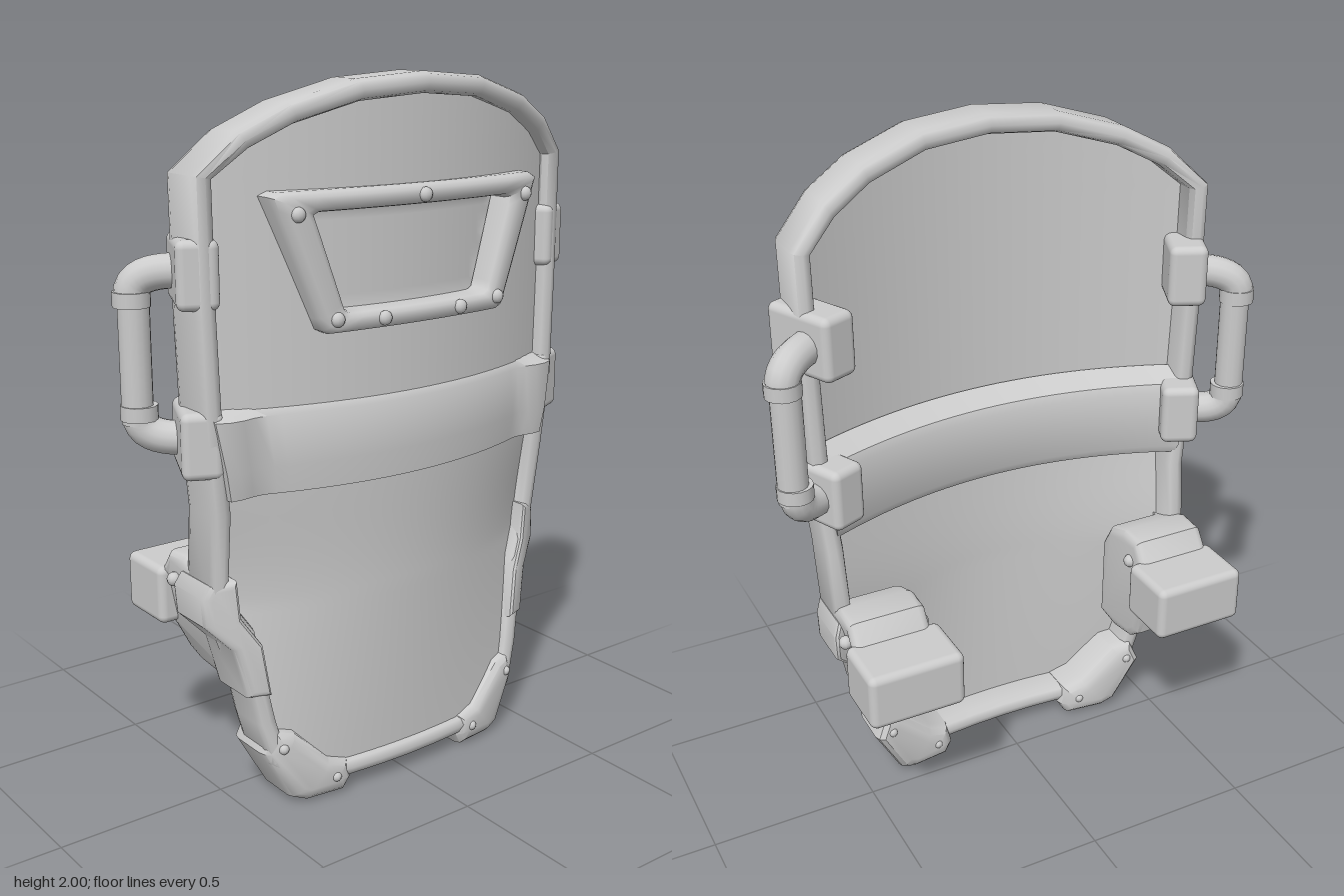
import * as THREE from 'three';
import { toCreasedNormals } from 'three/addons/utils/BufferGeometryUtils.js';
import { RoundedBoxGeometry } from 'three/addons/geometries/RoundedBoxGeometry.js';

const material = new THREE.MeshStandardMaterial({ color: 0xcccccc, side: THREE.DoubleSide });
const { lerp, smoothstep, clamp } = THREE.MathUtils;

// Mid-surface of the curved shield: flatter at the foot, deepest at the arm rests
function bow(x, y) {
  const low = clamp(y / 0.6, 0, 1), high = smoothstep(y, 0.6, 1.05);
  const centre = lerp(lerp(0.16, 0.205, low), 0.22, high);
  const curve = lerp(lerp(0.22, 0.5, low), 0.385, high);
  return centre - curve * x * x;
}

// Rim centre line, right half, top to bottom
const outline = [[0, 1.972], [0.2, 1.957], [0.38, 1.905], [0.5, 1.842], [0.593, 1.755], [0.59, 1.4], [0.582, 1.1],
  [0.56, 0.88], [0.555, 0.63], [0.495, 0.53], [0.45, 0.27], [0.42, 0.15], [0.35, 0.08], [0.2, 0.07], [0.1, 0.07], [0, 0.07]];

function halfWidth(y) {
  for (let i = 0; i < 12; i++) {
    const [x0, y0] = outline[i], [x1, y1] = outline[i + 1];
    if (y <= y0 && y >= y1) return lerp(x0, x1, (y0 - y) / (y0 - y1));
  }
  return y > 1 ? 0 : 0.35;
}

// Skin a list of equal-length rings; open ends get strip caps, faces are turned outward by signed volume
function loft(rings, closed, crease = 0.7) {
  const n = rings[0].length, m = rings.length, pos = rings.flat(2), idx = [];
  for (let i = 0; i < (closed ? m : m - 1); i++) {
    for (let j = 0; j < n; j++) {
      const k = (j + 1) % n, p = i * n, q = ((i + 1) % m) * n;
      idx.push(p + j, p + k, q + j, p + k, q + k, q + j);
    }
  }
  if (!closed) for (let j = 0; j < n / 2 - 1; j++) {
    const e = (m - 1) * n, a = n - 1 - j, b = n - 2 - j;
    idx.push(j, a, b, j, b, j + 1, e + j, e + b, e + a, e + j, e + j + 1, e + b);
  }
  const v = (i) => new THREE.Vector3().fromArray(pos, idx[i] * 3);
  let volume = 0;
  for (let i = 0; i < idx.length; i += 3) volume += v(i).dot(v(i + 1).cross(v(i + 2)));
  if (volume < 0) idx.reverse();
  const g = new THREE.BufferGeometry();
  g.setAttribute('position', new THREE.Float32BufferAttribute(pos, 3));
  g.setIndex(idx);
  return toCreasedNormals(g, crease);
}

// Move every vertex by a rule
function warp(g, rule) {
  const p = g.attributes.position;
  for (let i = 0; i < p.count; i++) p.setXYZ(i, ...rule(p.getX(i), p.getY(i), p.getZ(i)));
  return toCreasedNormals(g, 0.6);
}
const bend = (g) => warp(g, (x, y, z) => [x, y, z + bow(x, y)]);

// Bevelled plate centred on z = 0
function plate(points, depth, bevel) {
  const shape = new THREE.Shape(points.map(([x, y]) => new THREE.Vector2(x, y)));
  const g = new THREE.ExtrudeGeometry(shape, { depth: depth - 2 * bevel, bevelThickness: bevel,
    bevelSize: bevel, bevelOffset: -bevel, bevelSegments: 3 });
  return g.translate(0, 0, bevel - depth / 2);
}

// Mirrored copy across x = 0 with its winding restored
function mirror(g) {
  const c = g.index ? g.toNonIndexed() : g.clone();
  c.scale(-1, 1, 1);
  for (const a of Object.values(c.attributes)) {
    for (let i = 0; i < a.count; i += 3) {
      for (let k = 0; k < a.itemSize; k++) {
        const t = a.getComponent(i, k);
        a.setComponent(i, k, a.getComponent(i + 1, k));
        a.setComponent(i + 1, k, t);
      }
    }
  }
  return c;
}

export function createModel() {
  const model = new THREE.Group();
  model.name = 'curvedShield';
  const add = (name, g) => {
    const mesh = new THREE.Mesh(g, material);
    mesh.name = name;
    model.add(mesh);
  };
  const pair = (name, g) => {
    add(name + 'Left', g);
    add(name + 'Right', mirror(g));
  };

  // Curved panels, front and back skins in one ring per row; the window area is sunk
  const sunk = (x, y) => 0.035 * smoothstep(0.39 - 0.3 * (1.69 - y) - Math.abs(x), 0, 0.04)
    * smoothstep(y, 1.37, 1.4) * (1 - smoothstep(y, 1.66, 1.69));
  const panel = (y0, y1, front, thickness) => {
    const rings = [];
    for (let i = 0; i <= 48; i++) {
      const y = lerp(y0, y1, i / 48), w = Math.max(halfWidth(y), 0.01), ring = [];
      const skin = (x) => bow(x, y) + front(y);
      for (let j = -20; j <= 20; j++) ring.push([w * j / 20, y, skin(w * j / 20) - sunk(w * j / 20, y)]);
      for (let j = 20; j >= -20; j--) ring.push([w * j / 20, y, skin(w * j / 20) - thickness]);
      rings.push(ring);
    }
    return loft(rings, false);
  };
  add('upperPanel', panel(1.02, 1.965, () => 0.03, 0.045));
  add('lowerPanel', panel(0.07, 1.04, (y) => lerp(0.06, 0.03, clamp(y / 0.6, 0, 1)), 0.04));

  // Rim swept around the whole outline
  const path = [...outline, ...outline.slice(1, -1).reverse().map(([x, y]) => [-x, y])];
  const section = [[-0.028, -0.05], [-0.021, -0.07], [0, -0.079], [0.021, -0.07], [0.028, -0.05],
    [0.028, 0.05], [0.021, 0.07], [0, 0.079], [-0.021, 0.07], [-0.028, 0.05]];
  add('rim', loft(path.map(([x, y], i) => {
    const a = path.at(i - 1), b = path[(i + 1) % path.length];
    const t = new THREE.Vector2(b[0] - a[0], b[1] - a[1]).normalize();
    return section.map(([s, z]) => [x - t.y * s, y + t.x * s, bow(x, y) + z]);
  }), true, 0.9));

  // Thick cross band over both panels, standing proud at the back and narrower at its lower edge
  const bandSection = [[0.92, 0.02], [0.925, 0.04], [1.0, 0.042], [1.14, 0.042], [1.165, 0.025],
    [1.19, -0.02], [1.155, -0.09], [1.13, -0.1], [0.95, -0.095], [0.925, -0.08]];
  const bandRings = [];
  for (let i = 0; i <= 32; i++) {
    bandRings.push(bandSection.map(([y, z]) => {
      const x = lerp(-1, 1, i / 32) * lerp(0.55, 0.6, (y - 0.92) / 0.28);
      const flare = z > 0.03 ? 0.045 * smoothstep(Math.abs(x), 0.44, 0.56) : 0;
      return [x, y, bow(x, y) + z + flare];
    }));
  }
  add('crossBand', loft(bandRings, false));

  // Trapezoid window frame with rounded bars
  const frameZ = (x) => 0.286 - 0.2 * x * x;
  const outer = [[-0.455, 1.715], [0.455, 1.715], [0.305, 1.345], [-0.305, 1.345]];
  const inner = [[-0.33, 1.66], [0.33, 1.66], [0.24, 1.4], [-0.24, 1.4]];
  const frameSection = [[0, -1], [0, -0.03], [0.07, -0.012], [0.25, 0], [0.75, 0], [0.93, -0.012], [1, -0.03], [1, -1]];
  const frameRings = [];
  for (let side = 0; side < 4; side++) {
    for (let i = 0; i < 12; i++) {
      // Stops short of each corner so it is blunted
      const s = 0.03 + 0.94 * i / 11;
      const at = (c) => c[side].map((v, k) => lerp(v, c[(side + 1) % 4][k], s));
      const o = at(outer), n = at(inner);
      frameRings.push(frameSection.map(([t, z]) => {
        const x = lerp(o[0], n[0], t), y = lerp(o[1], n[1], t);
        return [x, y, z === -1 ? bow(x, y) : frameZ(x) + z];
      }));
    }
  }
  add('windowFrame', loft(frameRings, true, 1));
  for (const [x, y] of [[-0.385, 1.66], [0, 1.687], [0.385, 1.66], [-0.275, 1.385], [-0.13, 1.375], [0.13, 1.375], [0.275, 1.385]]) {
    add('frameRivet', new THREE.SphereGeometry(0.02, 12, 8).scale(1, 1, 0.8).translate(x, y, frameZ(x)));
  }

  // Bottom corner guards
  pair('cornerGuard', bend(plate([[0.435, 0.24], [0.465, 0.17], [0.385, 0.02], [0.34, 0], [0.22, 0],
    [0.195, 0.04], [0.21, 0.1], [0.27, 0.12], [0.375, 0.225]], 0.19, 0.04).translate(0, 0, -0.01)));
  for (const [x, y] of [[0.415, 0.185], [0.255, 0.06]]) {
    for (const z of [-0.098, 0.08]) {
      pair('guardRivet', new THREE.SphereGeometry(0.015, 10, 8).translate(x, y, bow(x, y) + z));
    }
  }

  // Side handles with clamps, elbows and grip
  for (const [y, inward] of [[1.515, -1], [1.075, 1]]) {
    pair('handleClamp', new RoundedBoxGeometry(0.11, 0.18, 0.22, 3, 0.022).rotateY(0.42).translate(0.57, y, 0.052));
    const x = y > 1.3 ? 0.692 : 0.682, cy = y > 1.3 ? 1.51 : 1.07;
    const bendPath = new THREE.QuadraticBezierCurve3(new THREE.Vector3(0.57, cy, 0.03),
      new THREE.Vector3(x + 0.012, cy - inward * 0.01, -0.065), new THREE.Vector3(x, cy + inward * 0.08, -0.052));
    pair('handleElbow', new THREE.TubeGeometry(bendPath, 12, 0.046, 14));
    pair('handleCollar', new THREE.CylinderGeometry(0.05, 0.05, 0.04, 16).translate(x, cy + inward * 0.07, -0.052));
  }
  pair('handleGrip', new THREE.CylinderGeometry(0.042, 0.042, 0.36, 16).translate(0.687, 1.29, -0.052));

  // Arm rests: sleeve on the rim, tapering bracket behind it and a pad
  pair('armRestSleeve', bend(plate([[0.52, 0.69], [0.585, 0.68], [0.602, 0.64], [0.598, 0.56], [0.535, 0.49],
    [0.505, 0.35], [0.44, 0.35], [0.46, 0.5], [0.51, 0.58]], 0.17, 0.02)));
  const bracket = plate([[0.05, 0.69], [-0.03, 0.72], [-0.11, 0.715], [-0.15, 0.66], [-0.2, 0.645], [-0.2, 0.5], [-0.155, 0.47],
    [-0.135, 0.4], [-0.09, 0.365], [0, 0.35], [0.09, 0.36], [0.09, 0.62]], 0.235, 0.025);
  pair('armRestBracket', warp(bracket.rotateY(-Math.PI / 2).translate(0.465, 0, 0), (x, y, z) =>
    [lerp(0.345, x, lerp(0.6, 1, clamp((y - 0.35) / 0.22, 0, 1))), y, z]));
  pair('armRestPad', new RoundedBoxGeometry(0.285, 0.17, 0.19, 3, 0.022).translate(0.46, 0.575, -0.215));
  for (const x of [0.348, 0.582]) {
    pair('bracketRivet', new THREE.SphereGeometry(0.02, 10, 8).translate(x, 0.64, -0.08));
  }
  return model;
}
